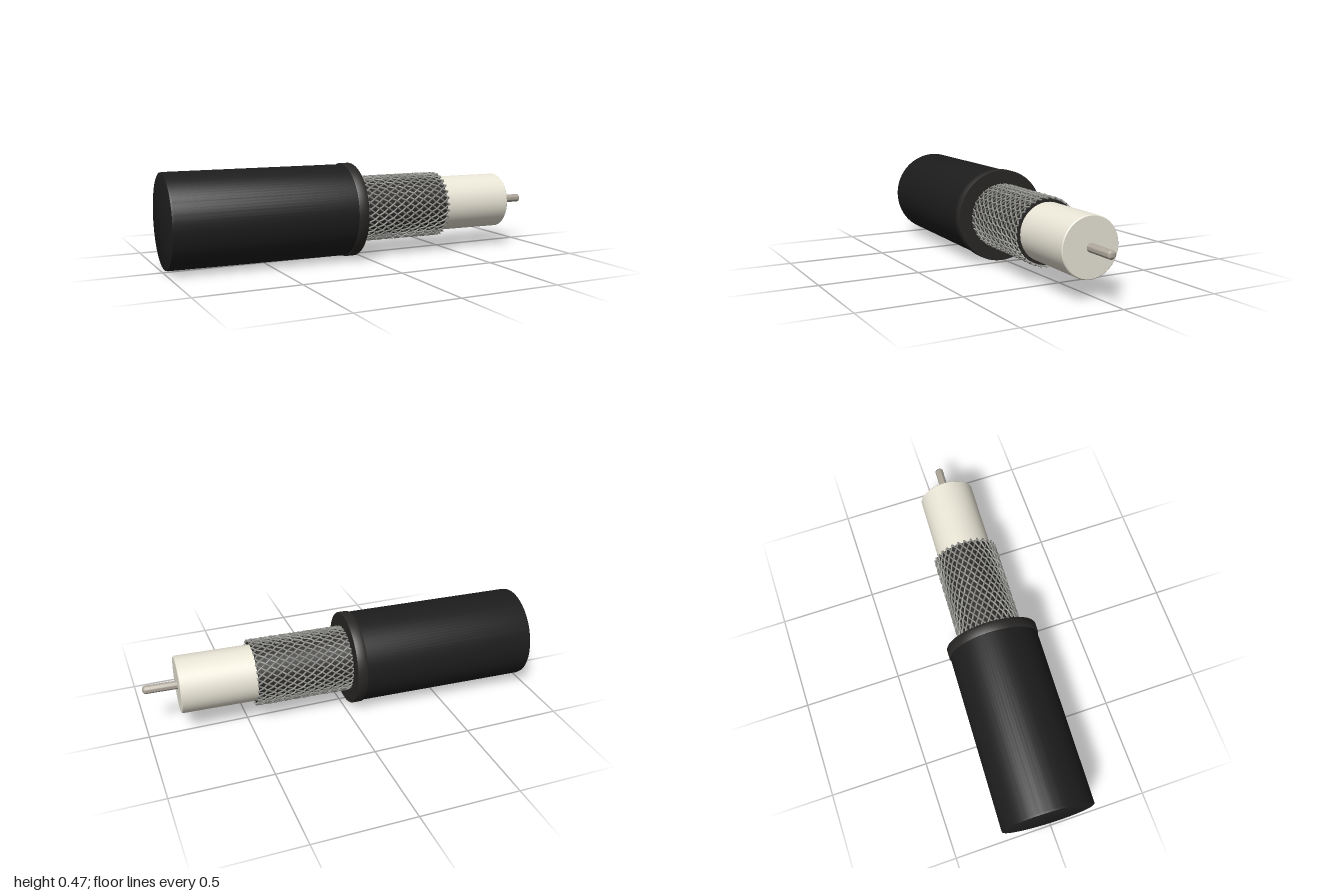
import * as THREE from 'three';
import { toCreasedNormals } from 'three/addons/utils/BufferGeometryUtils.js';

const material = (color) => new THREE.MeshStandardMaterial({ color });

// Turned part lying along x; profile is [position along x, radius], from back to tip
function turned(name, profile, mat, segments = 64) {
  const points = profile.map(([s, r]) => new THREE.Vector2(r, s));
  const geometry = new THREE.LatheGeometry(points, segments).rotateZ(-Math.PI / 2);
  const mesh = new THREE.Mesh(toCreasedNormals(geometry, 0.6), mat);
  mesh.name = name;
  return mesh;
}

// Helical wire that weaves over and under the wires wound the other way
const BRAID = { start: -0.04, end: 0.46, radius: 0.1625, wave: 0.003, wire: 0.0045, count: 30, twist: 2.1 };

class BraidWire extends THREE.Curve {
  constructor(angle, direction) {
    super();
    this.angle = angle;
    this.direction = direction;
  }
  getPoint(t, target = new THREE.Vector3()) {
    const step = (Math.PI * 2) / BRAID.count;
    const turn = BRAID.twist * t;
    const a = this.angle + this.direction * turn;
    const r = BRAID.radius + this.direction * BRAID.wave * Math.cos((Math.PI * 2 * turn) / step);
    const x = THREE.MathUtils.lerp(BRAID.start, BRAID.end, t);
    return target.set(x, r * Math.cos(a), r * Math.sin(a));
  }
}

function createBraid() {
  const braid = new THREE.Group();
  braid.name = 'braidedShield';
  const mat = material(0x92928e);
  for (const direction of [1, -1]) {
    // One wire per direction, repeated around the axis
    const geometry = new THREE.TubeGeometry(new BraidWire(0, direction), 84, BRAID.wire, 5);
    for (let i = 0; i < BRAID.count; i++) {
      const wire = new THREE.Mesh(geometry, mat);
      wire.name = 'braidWire';
      wire.rotation.x = (i / BRAID.count) * Math.PI * 2;
      braid.add(wire);
    }
  }
  return braid;
}

export function createModel() {
  const cable = new THREE.Group();
  cable.name = 'coaxialCable';
  const black = material(0x1d1d1d);
  const rim = material(0x2a2826);

  // Outer jacket with a slightly bevelled closed back end
  cable.add(turned('jacket', [
    [-0.99, 0], [-0.99, 0.226], [-0.988, 0.23], [-0.98, 0.232], [-0.08, 0.232],
  ], black, 96));

  // Raised collar where the jacket is cut back
  cable.add(turned('jacketCollar', [
    [-0.084, 0.228], [-0.084, 0.235], [-0.08, 0.2375], [-0.036, 0.2375], [-0.032, 0.235], [-0.032, 0.14],
  ], rim, 96));

  // Dark sleeve under the braid
  cable.add(turned('innerSleeve', [[-0.04, 0.157], [0.452, 0.157], [0.452, 0.14]], rim));

  cable.add(createBraid());

  // Pale insulating core
  cable.add(turned('insulator', [
    [-0.04, 0.143], [0.826, 0.143], [0.83, 0.139], [0.83, 0],
  ], material(0xebe7d8)));

  // Centre conductor with a rounded tip
  const tip = [0, 1, 2, 3, 4, 5].map((i) => {
    const a = (i / 5) * Math.PI / 2;
    return [0.986 + 0.014 * Math.sin(a), 0.021 * Math.cos(a)];
  });
  cable.add(turned('conductor', [[0.82, 0.021], ...tip], material(0xb0a89c), 24));

  // The cable lies turned slightly towards the front
  cable.rotation.y = -0.0425;
  cable.position.set(0, 0.2375, 0.0175);

  const model = new THREE.Group();
  model.name = 'model';
  model.add(cable);
  return model;
}
